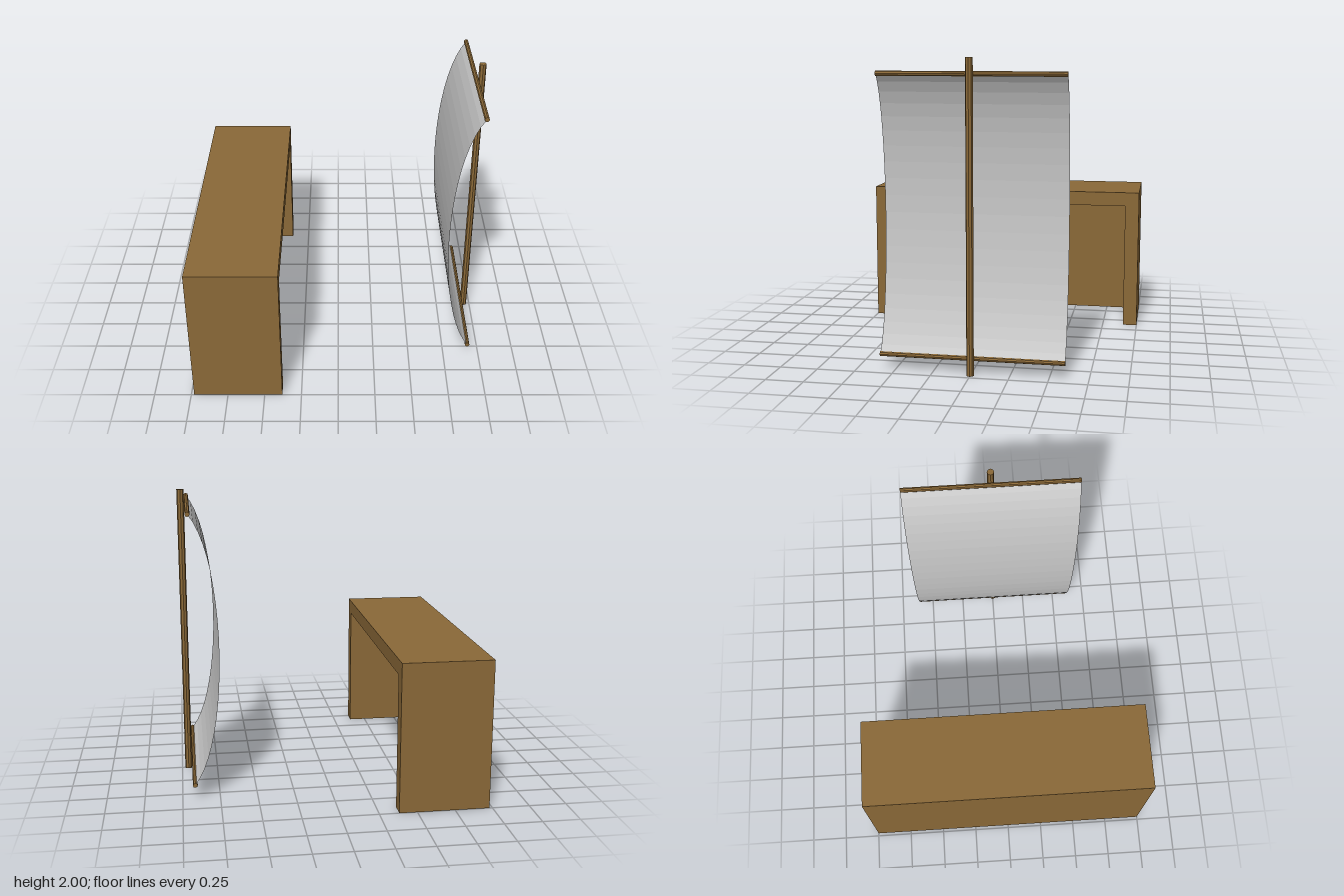
import * as THREE from 'three';

export function createModel() {
  const model = new THREE.Group();
  const wood = new THREE.MeshStandardMaterial({ color: 0x8b6938, flatShading: true });
  const cloth = new THREE.MeshStandardMaterial({ color: 0xcccccc, flatShading: true, side: THREE.DoubleSide });

  const add = (name, geometry, material, x, y, z, parent = model) => {
    const mesh = new THREE.Mesh(geometry, material);
    mesh.name = name;
    mesh.position.set(x, y, z);
    parent.add(mesh);
    return mesh;
  };

  // Counter: a U-shaped arch open toward +x, closed by a panel on the -x side
  const counter = new THREE.Group();
  counter.name = 'counter';
  model.add(counter);
  const arch = new THREE.Shape([
    [-1, 0], [-0.9, 0], [-0.9, 0.9], [0.9, 0.9], [0.9, 0], [1, 0], [1, 1], [-1, 1],
  ].map(([x, y]) => new THREE.Vector2(x, y)));
  const archGeometry = new THREE.ExtrudeGeometry(arch, { depth: 0.6, bevelEnabled: false });
  archGeometry.rotateY(Math.PI / 2);
  add('counterFrame', archGeometry, wood, -0.98, 0, 0, counter);
  add('counterPanel', new THREE.BoxGeometry(0.1, 0.9, 1.8), wood, -0.93, 0.45, 0, counter);

  // Mast
  add('mast', new THREE.CylinderGeometry(0.024, 0.024, 2, 8), wood, 0.955, 1, 0);

  // Cross bars holding the cloth
  for (const [name, y] of [['lowerBar', 0.1], ['upperBar', 1.9]]) {
    add(name, new THREE.CylinderGeometry(0.016, 0.016, 1.2, 8), wood, 0.915, y, 0).rotation.x = Math.PI / 2;
  }

  // Billowing cloth, bent along a curve between the bars
  const curve = new THREE.CubicBezierCurve(
    new THREE.Vector2(0.915, 0.1), new THREE.Vector2(0.675, 0.4),
    new THREE.Vector2(0.675, 1.6), new THREE.Vector2(0.915, 1.9));
  const sail = new THREE.PlaneGeometry(1.2, 1, 1, 20);
  sail.rotateY(Math.PI / 2);
  const p = sail.attributes.position;
  for (let i = 0; i < p.count; i++) {
    const point = curve.getPoint(p.getY(i) + 0.5);
    p.setXY(i, point.x, point.y);
  }
  sail.computeVertexNormals();
  add('sail', sail, cloth, 0, 0, 0);

  return model;
}
